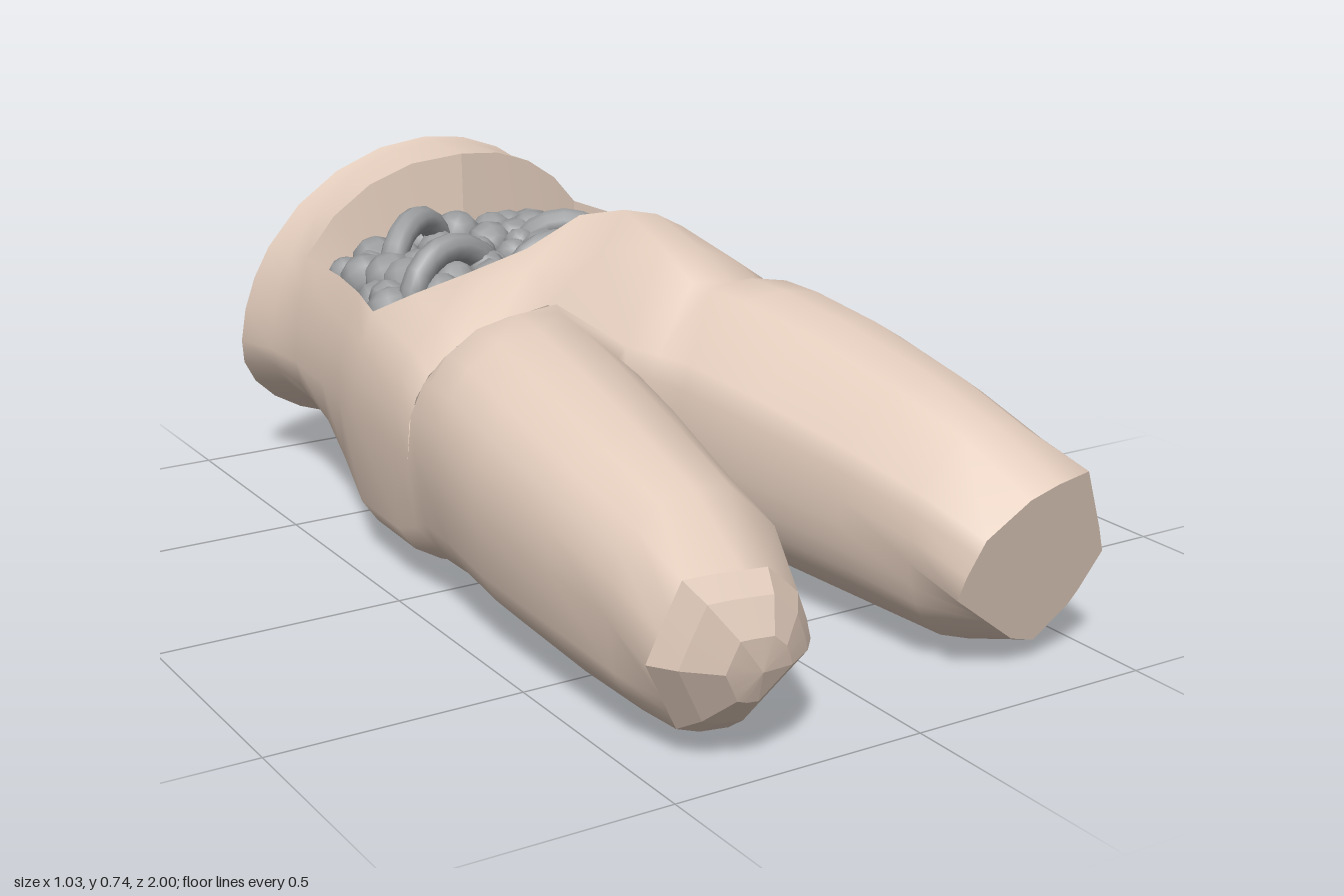
import * as THREE from 'three';
import { mergeGeometries, mergeVertices, toCreasedNormals } from 'three/addons/utils/BufferGeometryUtils.js';

const SEG = 28, HALF = 14, HOLE = 4; // points per ring, per half ring, half width of the opening
const V = (x, y, z) => new THREE.Vector3(x, y, z);
const { lerp, clamp } = THREE.MathUtils;
const mod = j => (j + SEG) % SEG;

// Closed rings of points, clockwise as seen from +z, joined into a skin
function loft(rings, skip = () => false) {
  const n = rings[0].length, pos = [], index = [];
  rings.forEach(r => r.forEach(p => pos.push(p.x, p.y, p.z)));
  for (let i = 0; i < rings.length - 1; i++) for (let j = 0; j < n; j++) {
    if (skip(i, j)) continue;
    const a = i * n + j, b = i * n + (j + 1) % n, c = a + n, d = b + n;
    index.push(a, c, b, b, c, d);
  }
  const g = new THREE.BufferGeometry();
  g.setAttribute('position', new THREE.Float32BufferAttribute(pos, 3));
  g.setIndex(index);
  return g;
}

// Copy of a ring scaled about a centre and moved along z; scale 0 closes a cap
const shrink = (ring, c, s, dz) => ring.map(p => V(
  c.x + (p.x - c.x) * s, c.y + (p.y - c.y) * s, c.z + (p.z - c.z) * s + dz));

const average = ring => ring.reduce((s, p) => s.add(p), V(0, 0, 0)).divideScalar(ring.length);

// Column angle: the opening reaches further down on the -x side
function columnAngle(col) {
  if (col < 0 && col >= -HOLE) return col / HOLE * Math.PI / 3;
  if (col < -HOLE && col > -7) return -Math.PI / 3 + (col + HOLE) / 3 * Math.PI / 6;
  return col / HALF * Math.PI;
}

// Torso ring: half width, top, bottom, roundness above (e) and below (flat), cleft depths.
// edge bends the ring along z to the rim of the opening: shift at +x corner, peak, -x corner, peak column
function torsoRing({ z, w, top, bottom, e = 1, flat = 1, tilt = 0, dipTop = 0, dipBottom = 0, edge, sag = 0 }) {
  return Array.from({ length: SEG }, (_, j) => {
    const col = j <= HALF ? j : j - SEG, a = columnAngle(col), mid = 0.31;
    const s = j % HALF ? Math.sin(a) : 0, c = j % 7 || j % HALF === 0 ? Math.cos(a) : 0;
    const x = w * Math.sign(s) * Math.abs(s) ** (c > 0 ? e : 1), near = Math.exp(-((x / 0.09) ** 2));
    let y = c > 0 ? mid + (top - mid) * c ** e - dipTop * near
      : mid - (mid - bottom) * Math.abs(c) ** flat + dipBottom * near;
    let shift = 0;
    if (Math.abs(col) <= HOLE) {
      if (col < 0) y += sag * Math.sin(Math.PI * col / HOLE);
      if (edge) {
        const [right, peak, left, at] = edge;
        shift = col > at ? lerp(peak, right, (col - at) / (HOLE - at)) : lerp(peak, left, (at - col) / (HOLE + at));
      }
    }
    return V(x, y, z + tilt * c + shift);
  });
}

// Distance from c to the outline of a polygon in direction a
function reach(poly, c, a) {
  const dx = Math.cos(a), dy = Math.sin(a);
  let best = 0;
  poly.forEach(([x, y], i) => {
    const [x2, y2] = poly[(i + 1) % poly.length];
    const ex = x2 - x, ey = y2 - y, det = dx * ey - dy * ex;
    if (Math.abs(det) < 1e-6) return;
    const t = ((x - c[0]) * ey - (y - c[1]) * ex) / det;
    const u = ((x - c[0]) * dy - (y - c[1]) * dx) / det;
    if (t > 0 && u >= -1e-6 && u <= 1 + 1e-6) best = Math.max(best, t);
  });
  return best;
}

const mirror = rings => rings.map(r => r.map(p => V(-p.x, p.y, p.z)).reverse());

// Leg on the +x side, growing out of half of the last torso ring
function legRings(hip, endOutline) {
  const start = hip.slice(0, HALF + 1).map(p => p.clone());
  for (let i = 1; i < 6; i++) start.push(hip[HALF].clone().lerp(hip[0], i / 6)); // crotch line
  const angles = start.map(p => Math.atan2(p.y - 0.3, p.x - 0.25));
  const rings = [start];
  // z, inner x, outer x, top, bottom
  for (const [z, xi, xo, yt, yb] of [[0.08, 0.025, 0.495, 0.58, 0.045], [0.18, 0.035, 0.505, 0.575, 0.055],
    [0.35, 0.065, 0.515, 0.55, 0.045], [0.6, 0.115, 0.505, 0.5, 0.038], [0.78, 0.14, 0.495, 0.45, 0.04]]) {
    const rx = (xo - xi) / 2, ry = (yt - yb) / 2;
    rings.push(angles.map(a => {
      const c = Math.cos(a), s = Math.sin(a);
      const r = (Math.abs(c / rx) ** 2.3 + Math.abs(s / ry) ** 2.3) ** (-1 / 2.3);
      return V((xi + xo) / 2 + r * c, (yt + yb) / 2 + r * s, z);
    }));
  }
  const c = [0.33, 0.21];
  rings.push(angles.map(a => {
    const r = reach(endOutline, c, a), y = c[1] + r * Math.sin(a);
    return V(c[0] + r * Math.cos(a), y, 0.865 + (y - 0.04) * 0.23);
  }));
  return rings;
}

export function createModel() {
  const group = new THREE.Group();
  const skin = new THREE.MeshStandardMaterial({ color: 0xe3cdbd, side: THREE.DoubleSide });
  const grey = new THREE.MeshStandardMaterial({ color: 0x9a9c9e, side: THREE.DoubleSide });
  const add = (name, geometry, material, parent = group) => {
    const mesh = new THREE.Mesh(geometry, material);
    mesh.name = name;
    parent.add(mesh);
    return mesh;
  };
  const faceted = g => toCreasedNormals(g, 0.15);

  // Torso from waist to crotch, with the belly open between rings 2 and 5
  const torso = [
    { z: -0.92, w: 0.435, top: 0.75, bottom: 0.055, tilt: 0.082 },
    { z: -0.82, w: 0.405, top: 0.745, bottom: 0.11, tilt: 0.02 },
    { z: -0.7, w: 0.4, top: 0.74, bottom: 0.11, e: 0.93, flat: 0.9, edge: [-0.01, 0.04, -0.03, 0] },
    { z: -0.53, w: 0.415, top: 0.74, bottom: 0.075, e: 0.93, flat: 0.7, dipBottom: 0.01 },
    { z: -0.4, w: 0.435, top: 0.73, bottom: 0.03, e: 0.92, flat: 0.5, dipBottom: 0.02 },
    { z: -0.27, w: 0.46, top: 0.7, bottom: 0, e: 0.88, flat: 0.35, dipBottom: 0.035, edge: [0.015, 0.155, -0.01, -1], sag: 0.05 },
    { z: -0.06, w: 0.48, top: 0.64, bottom: 0.005, e: 0.8, flat: 0.38, dipBottom: 0.035 },
    { z: 0.035, w: 0.49, top: 0.585, bottom: 0.025, e: 0.75, flat: 0.48, dipTop: 0.12, dipBottom: 0.04 },
  ].map(torsoRing);
  const inHole = (i, j) => i >= 2 && i < 5 && (j < HOLE || j >= SEG - HOLE);

  // Legs
  const left = legRings(torso[7],
    [[0.21, 0.34], [0.4, 0.405], [0.49, 0.22], [0.44, 0.12], [0.35, 0.04], [0.15, 0.19]]);
  const right = mirror(legRings(torso[7],
    [[0.24, 0.35], [0.45, 0.37], [0.5, 0.22], [0.41, 0.06], [0.31, 0.04], [0.16, 0.19]]));
  const body = mergeVertices(mergeGeometries([loft(torso, inHole), loft(left), loft(right)]), 1e-4);
  body.computeVertexNormals();
  add('body', body, skin);

  // Flat end of the left leg and rounded stump of the right leg
  const leftEnd = left.at(-1), rightEnd = right.at(-1);
  add('leftLegEnd', faceted(loft([leftEnd, shrink(leftEnd, average(leftEnd), 0, 0)])), skin);
  const stump = V(-0.33, 0.2, 0.91);
  add('rightLegStump', faceted(loft([[1, 0], [0.78, 0.04], [0.4, 0.08], [0, 0.088]]
    .map(([s, dz]) => shrink(rightEnd, stump, s, dz)))), skin);

  // Hollow stepped waist end
  const waist = torso[0], waistCentre = average(waist);
  add('waistEnd', faceted(loft([[0, 0.055], [0.54, 0.045], [0.7, 0.015], [1, 0]]
    .map(([s, dz]) => shrink(waist, waistCentre, s, dz)))), skin);

  // Walls and floor of the belly opening
  const rim = [];
  for (let j = -HOLE; j <= HOLE; j++) rim.push(torso[2][mod(j)]);
  rim.push(torso[3][HOLE], torso[4][HOLE]);
  for (let j = HOLE; j >= -HOLE; j--) rim.push(torso[5][mod(j)]);
  rim.push(torso[4][mod(-HOLE)], torso[3][mod(-HOLE)]);
  const base = rim.map(p => V(p.x * 0.97, 0.49, -0.42 + (p.z + 0.42) * 0.97));
  add('cavityWall', faceted(loft([base, rim])), skin);
  const floorCentre = average(base).setY(0.54);
  add('cavityFloor', loft([base, shrink(base, floorCentre, 0.6, 0), shrink(base, floorCentre, 0, 0)]), grey)
    .geometry.computeVertexNormals();

  // Rounded lumps filling the opening
  let seed = 7;
  const rand = () => (seed = (seed * 16807) % 2147483647) / 2147483647;
  const filling = new THREE.Group();
  filling.name = 'filling';
  group.add(filling);
  const ball = new THREE.SphereGeometry(1, 9, 6);
  for (let row = 0; row < 7; row++) for (let col = 0; col < 8; col++) {
    const u = clamp((col + (row % 2) * 0.4 - 3.7) / 3.6 + (rand() - 0.5) * 0.15, -1, 1);
    const v = (row + 0.5 + (rand() - 0.5) * 0.5) / 7, r = 0.036 + rand() * 0.024;
    const z = lerp(-0.62 - 0.06 * Math.abs(u), -0.16 - 0.12 * Math.abs(u), v);
    const lump = add('lump', ball, grey, filling);
    lump.position.set(u * (u < 0 ? 0.29 + 0.06 * v : 0.25 + 0.06 * v), 0.5 + 0.055 * (1 - u * u) + rand() * 0.02, z);
    lump.scale.setScalar(r);
    lump.rotation.set(rand() * 3, rand() * 3, 0);
  }

  // Upright tube loops: x, z, height of centre, direction along the ground
  for (const [x, z, y, dx, dz] of [[-0.18, -0.53, 0.53, 0.23, -0.15], [0.13, -0.43, 0.51, 0.22, 0.14],
    [-0.21, -0.31, 0.52, 0.26, -0.06], [-0.01, -0.23, 0.52, 0.26, 0]]) {
    const loop = add('tubeLoop', new THREE.TorusGeometry(0.105, 0.03, 10, 20), grey, filling);
    loop.position.set(x, y, z);
    loop.rotation.y = Math.atan2(-dz, dx);
  }
  return group;
}
